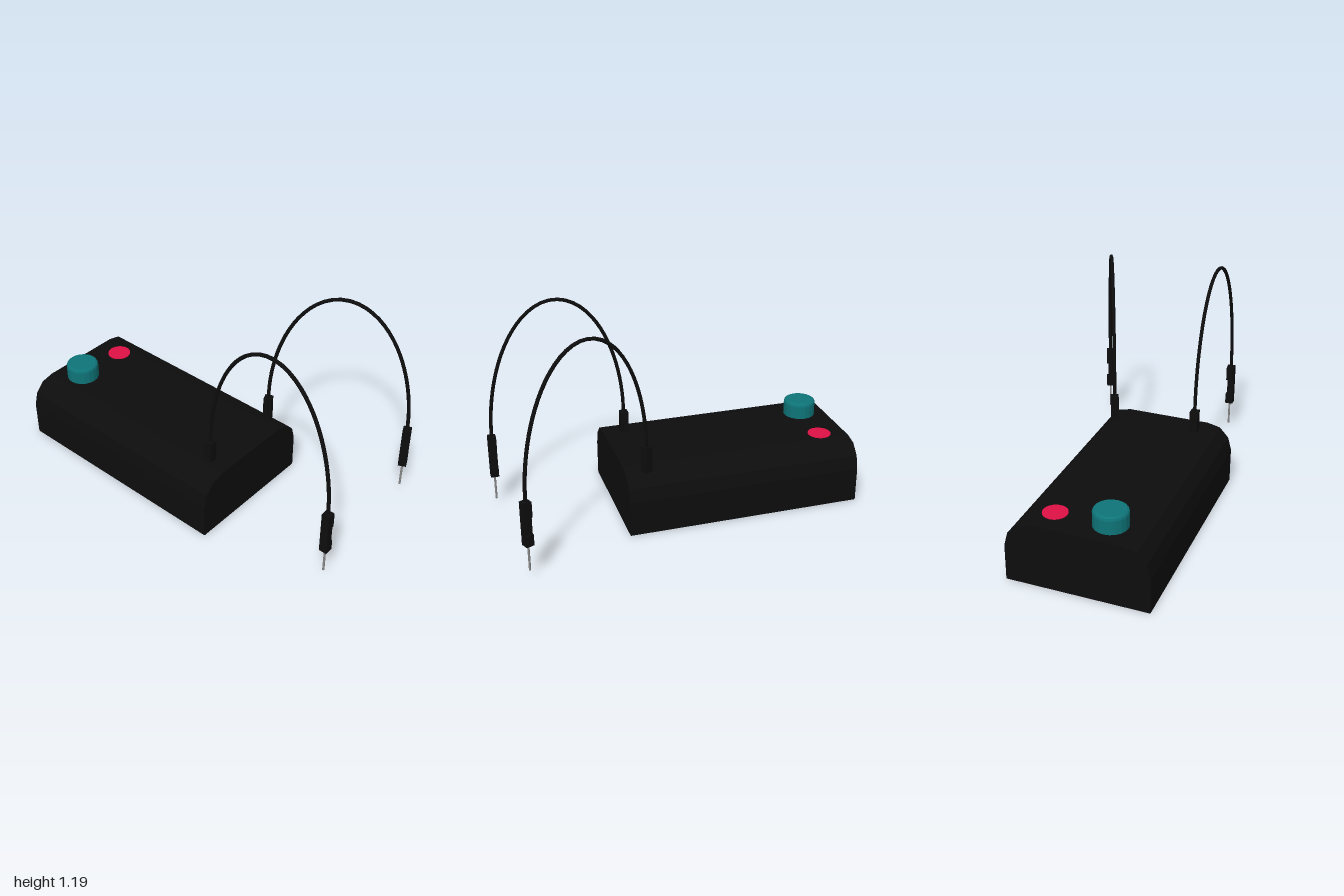
import * as THREE from 'three';

const mat = (color, flatShading = false) => new THREE.MeshStandardMaterial({ color, flatShading });
const black = mat(0x0d0d0d, true);
const wireBlack = mat(0x0d0d0d);
const teal = mat(0x0e7478, true);
const red = mat(0xdd1144);
const metal = mat(0x8a8a8a);

function add(parent, name, geometry, material, x = 0, y = 0, z = 0) {
  const mesh = new THREE.Mesh(geometry, material);
  mesh.name = name;
  mesh.position.set(x, y, z);
  parent.add(mesh);
  return mesh;
}

// Case: a section with rounded upper edges, extruded along x
function caseGeometry() {
  const half = [[0.3825, 0], [0.3825, 0.2], [0.3625, 0.275], [0.311, 0.33], [0.238, 0.347]];
  const points = [...half, ...half.map(([u, v]) => [-u, v]).reverse()];
  const shape = new THREE.Shape(points.map(([u, v]) => new THREE.Vector2(u, v)));
  return new THREE.ExtrudeGeometry(shape, { depth: 1.335, bevelEnabled: false })
    .rotateY(Math.PI / 2)
    .translate(-1, 0, 0.1275);
}

// Jumper lead: socket in the case, arched wire, plug with a recessed side, pin
function lead(name, start, end, socketTop, plugTop, pinBottom) {
  const group = new THREE.Group();
  group.name = name;
  const dx = end[0] - start[0], dz = end[1] - start[1];
  const span = Math.hypot(dx, dz);
  const size = 0.045, plugBottom = plugTop - 0.248;
  // The lead is built along local +x, then turned into place
  group.position.set(start[0], 0, start[1]);
  group.rotation.y = -Math.atan2(dz, dx);

  add(group, 'socket', new THREE.BoxGeometry(size, socketTop - 0.33, size), black,
    0, (socketTop + 0.33) / 2, 0);

  const arch = [];
  for (let i = 0; i <= 20; i++) {
    const a = Math.PI * (1 - i / 20);
    const base = THREE.MathUtils.lerp(socketTop, plugTop, i / 20) - 0.01;
    const rise = 1.183 - (socketTop + plugTop) / 2 + 0.01;
    arch.push(new THREE.Vector3(span / 2 * (1 + Math.cos(a)), base + rise * Math.sin(a), 0));
  }
  add(group, 'wire', new THREE.TubeGeometry(new THREE.CatmullRomCurve3(arch), 40, 0.01, 8), wireBlack);

  const block = (part, low, high, recess) => add(group, part,
    new THREE.BoxGeometry(size, high - low, size - recess), black,
    span, (low + high) / 2, recess / 2);
  block('plugTop', plugTop - 0.088, plugTop, 0);
  block('plugMiddle', plugTop - 0.185, plugTop - 0.088, 0.009);
  block('plugBottom', plugBottom, plugTop - 0.185, 0);

  const pinHeight = plugBottom + 0.02 - pinBottom;
  add(group, 'pin', new THREE.CylinderGeometry(0.006, 0.006, pinHeight, 10), metal,
    span, pinBottom + pinHeight / 2, 0);
  return group;
}

export function createModel() {
  const model = new THREE.Group();
  model.name = 'boxWithLeads';
  add(model, 'case', caseGeometry(), black);

  // Push button with a bevelled rim
  const profile = [[0.092, 0.33], [0.092, 0.422], [0.088, 0.434], [0.078, 0.44], [0, 0.44]]
    .map(([r, y]) => new THREE.Vector2(r, y));
  add(model, 'button', new THREE.LatheGeometry(profile, 20), teal, -0.85, 0, 0.25);

  // Flat indicator lamp
  add(model, 'lamp', new THREE.CylinderGeometry(0.066, 0.066, 0.01, 32), red, -0.85, 0.346, -0.045);

  model.add(lead('backLead', [0.215, -0.162], [0.92, -0.478], 0.48, 0.438, 0.042));
  model.add(lead('frontLead', [0.215, 0.322], [0.975, 0.316], 0.472, 0.427, 0.033));
  return model;
}
